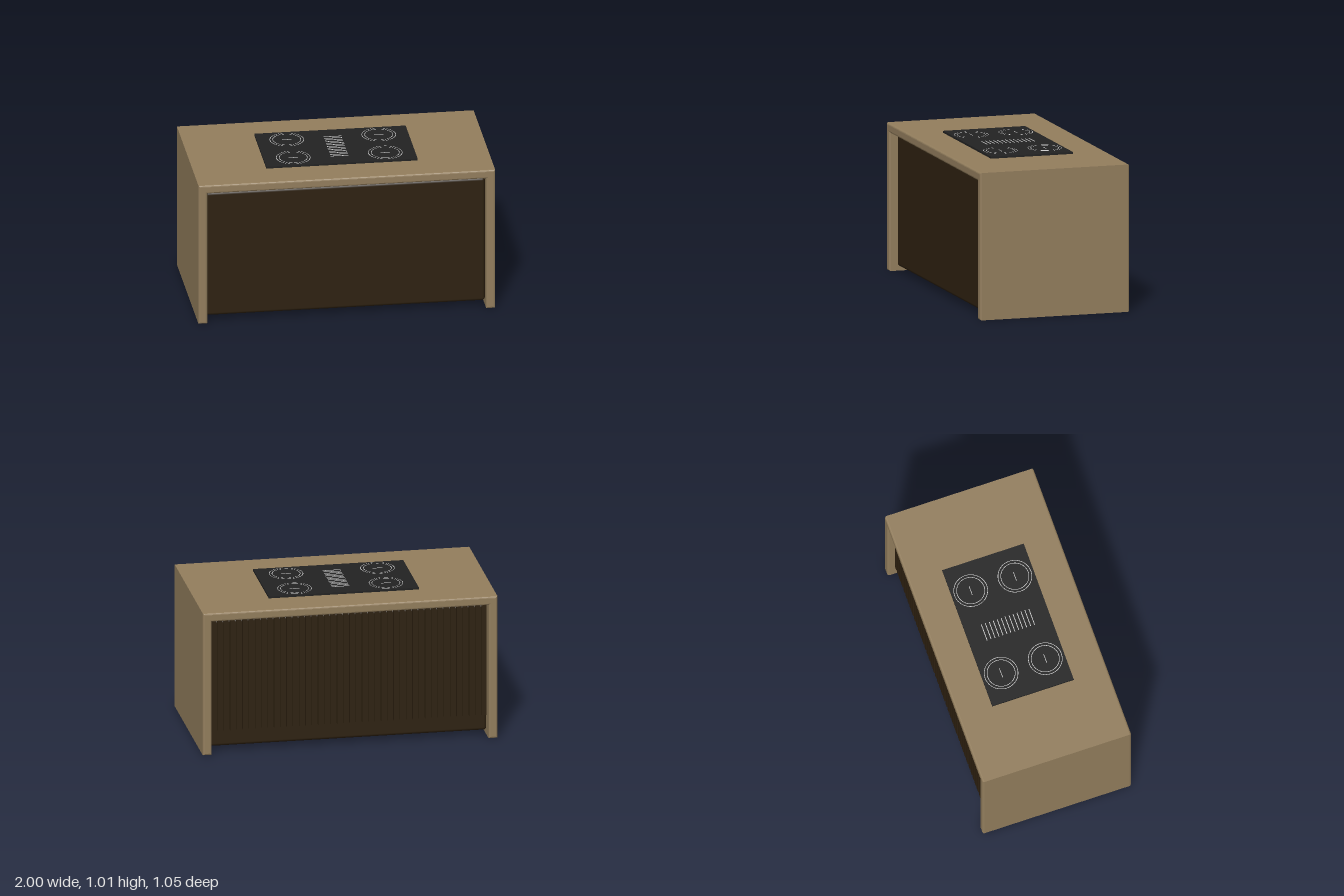
import * as THREE from 'three';
import { RoundedBoxGeometry } from 'three/addons/geometries/RoundedBoxGeometry.js';

function material(name, color) {
  const m = new THREE.MeshStandardMaterial({ color });
  m.name = name;
  return m;
}

function add(parent, name, geometry, mat, x = 0, y = 0, z = 0) {
  const mesh = new THREE.Mesh(geometry, mat);
  mesh.name = name;
  mesh.position.set(x, y, z);
  parent.add(mesh);
  return mesh;
}

export function createModel() {
  const oak = material('light oak', 0x937e5d);
  const walnut = material('dark walnut', 0x2e2110);
  const glass = material('black glass', 0x222222);
  const print = material('pale grey print', 0xd0d0d0);

  const island = new THREE.Group();
  island.name = 'kitchenIsland';

  // Waterfall worktop: an upside-down U with softened front and back edges
  const depth = 1.05, t = 0.06, bevel = 0.012;
  const profile = new THREE.Shape([
    [-1, 0], [-1 + t, 0], [-1 + t, 1 - t], [1 - t, 1 - t],
    [1 - t, 0], [1, 0], [1, 1], [-1, 1],
  ].map(([x, y]) => new THREE.Vector2(x, y)));
  const shell = new THREE.ExtrudeGeometry(profile, {
    depth: depth - 2 * bevel, bevelEnabled: true, bevelThickness: bevel,
    bevelSize: bevel, bevelOffset: -bevel, bevelSegments: 3,
  });
  shell.translate(0, 0, -depth / 2 + bevel);
  add(island, 'waterfallWorktop', shell, oak);

  // Cabinet body, held just below the worktop and clear of the floor
  add(island, 'cabinetBody', new RoundedBoxGeometry(1.88, 0.89, 0.92, 3, 0.02), walnut, 0, 0.48, 0.01);

  // Vertical slats across the back, above a plain plinth
  const slats = new THREE.Group();
  slats.name = 'backSlats';
  island.add(slats);
  const count = 44, pitch = 1.88 / count;
  const slat = new THREE.BoxGeometry(pitch * 0.72, 0.775, 0.03);
  for (let i = 0; i < count; i++) {
    add(slats, 'slat', slat, walnut, -0.94 + (i + 0.5) * pitch, 0.5375, -0.46);
  }

  // Cooktop glass
  const cooktop = new THREE.Group();
  cooktop.name = 'cooktop';
  island.add(cooktop);
  add(cooktop, 'cooktopGlass', new THREE.BoxGeometry(1.02, 0.014, 0.576), glass, 0, 1.006, 0);

  // Four cooking zones: two thin rings and a centre dash each
  const y = 1.0145;
  const rings = [0.115, 0.096].map(r =>
    new THREE.RingGeometry(r - 0.004, r, 64).rotateX(-Math.PI / 2));
  const dash = new THREE.BoxGeometry(0.066, 0.002, 0.004);
  for (const x of [-0.31, 0.31]) {
    for (const z of [-0.156, 0.156]) {
      rings.forEach(ring => add(cooktop, 'zoneRing', ring, print, x, y, z));
      add(cooktop, 'zoneMark', dash, print, x, y - 0.0005, z);
    }
  }

  // Extractor vent lines down the middle
  const vent = new THREE.BoxGeometry(0.12, 0.002, 0.005);
  for (let i = -6; i <= 6; i++) {
    add(cooktop, 'ventLine', vent, print, 0, y - 0.0005, i * 0.028);
  }

  return island;
}
